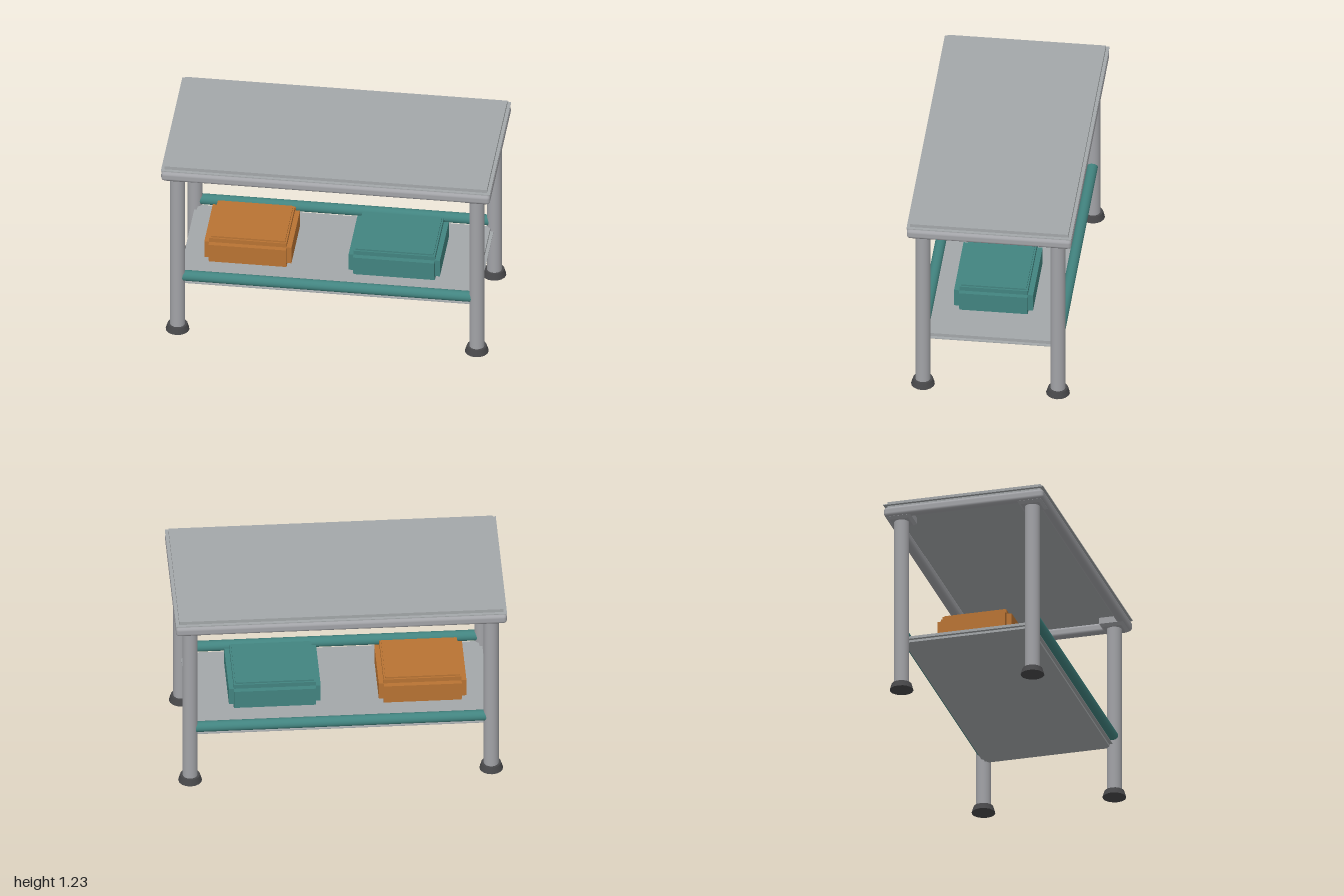
import * as THREE from 'three';
import { RoundedBoxGeometry } from 'three/addons/geometries/RoundedBoxGeometry.js';

export function createModel() {
  const model = new THREE.Group();
  model.name = 'workbench';
  const mat = (name, color) => {
    const m = new THREE.MeshStandardMaterial({ color });
    m.name = name;
    return m;
  };
  const panelGrey = mat('panel grey', 0xa3a7a9);
  const tubeGrey = mat('tube grey', 0xa2a3a7);
  const rubber = mat('dark rubber', 0x48484a);
  const teal = mat('teal', 0x428480);
  const orange = mat('orange', 0xb87333);

  const add = (parent, name, geometry, material, x, y, z) => {
    const m = new THREE.Mesh(geometry, material);
    m.name = name;
    m.position.set(x, y, z);
    parent.add(m);
    return m;
  };
  // Box given by its width, depth and bottom and top heights
  const slab = (parent, name, material, w, d, y0, y1, x = 0, z = 0) =>
    add(parent, name, new THREE.BoxGeometry(w, y1 - y0, d), material, x, (y0 + y1) / 2, z);

  // Panel with a thin lip that sticks out all round
  const panel = (name, w, d, y0) => {
    const g = new THREE.Group();
    g.name = name;
    slab(g, 'board', panelGrey, w - 0.04, d - 0.04, y0, y0 + 0.04);
    slab(g, 'lip', panelGrey, w, d, y0 + 0.014, y0 + 0.019);
    model.add(g);
  };
  panel('tableTop', 2, 1, 1.188);
  panel('lowerShelf', 1.82, 0.82, 0.322);

  // Rounded frame under the top
  for (const s of [-1, 1]) {
    add(model, 'longFrameRail', new RoundedBoxGeometry(2, 0.06, 0.06, 3, 0.02), tubeGrey, 0, 1.16, s * 0.47);
    add(model, 'shortFrameRail', new RoundedBoxGeometry(0.06, 0.06, 1, 3, 0.02), tubeGrey, s * 0.97, 1.16, 0);
  }

  // Legs with a flared foot and a square bracket at the top
  const bracketTaper = new THREE.CylinderGeometry(0.075 * Math.SQRT2, 0.058 * Math.SQRT2, 0.015, 4, 1).toNonIndexed();
  bracketTaper.rotateY(Math.PI / 4);
  bracketTaper.computeVertexNormals();
  for (const x of [-0.91, 0.91]) {
    for (const z of [-0.41, 0.41]) {
      const leg = new THREE.Group();
      leg.name = 'leg';
      leg.position.set(x, 0, z);
      add(leg, 'post', new THREE.CylinderGeometry(0.046, 0.046, 1.09, 24), tubeGrey, 0, 0.575, 0);
      add(leg, 'foot', new THREE.CylinderGeometry(0.06, 0.072, 0.04, 16), rubber, 0, 0.02, 0);
      add(leg, 'bracketTaper', bracketTaper, tubeGrey, 0, 1.1225, 0);
      slab(leg, 'bracket', tubeGrey, 0.15, 0.15, 1.13, 1.17);
      model.add(leg);
    }
  }

  // Round rails along the front and back of the shelf
  for (const z of [-0.41, 0.41]) {
    const rail = add(model, 'shelfRail', new THREE.CylinderGeometry(0.033, 0.033, 1.8, 20), teal, 0, 0.393, z);
    rail.rotation.z = Math.PI / 2;
  }

  // Storage boxes with raised panels on their four sides
  const storageBox = (name, material, x, z, w, d) => {
    const g = new THREE.Group();
    g.name = name;
    g.position.set(x, 0, z);
    slab(g, 'body', material, w, d, 0.362, 0.533);
    slab(g, 'lid', material, w - 0.02, d - 0.02, 0.533, 0.543);
    slab(g, 'endPanels', material, w + 0.06, d, 0.392, 0.505);
    slab(g, 'sidePanels', material, w, d + 0.065, 0.392, 0.505);
    model.add(g);
  };
  storageBox('orangeBox', orange, -0.51, 0, 0.47, 0.4);
  storageBox('tealBox', teal, 0.383, 0.014, 0.495, 0.415);

  return model;
}
